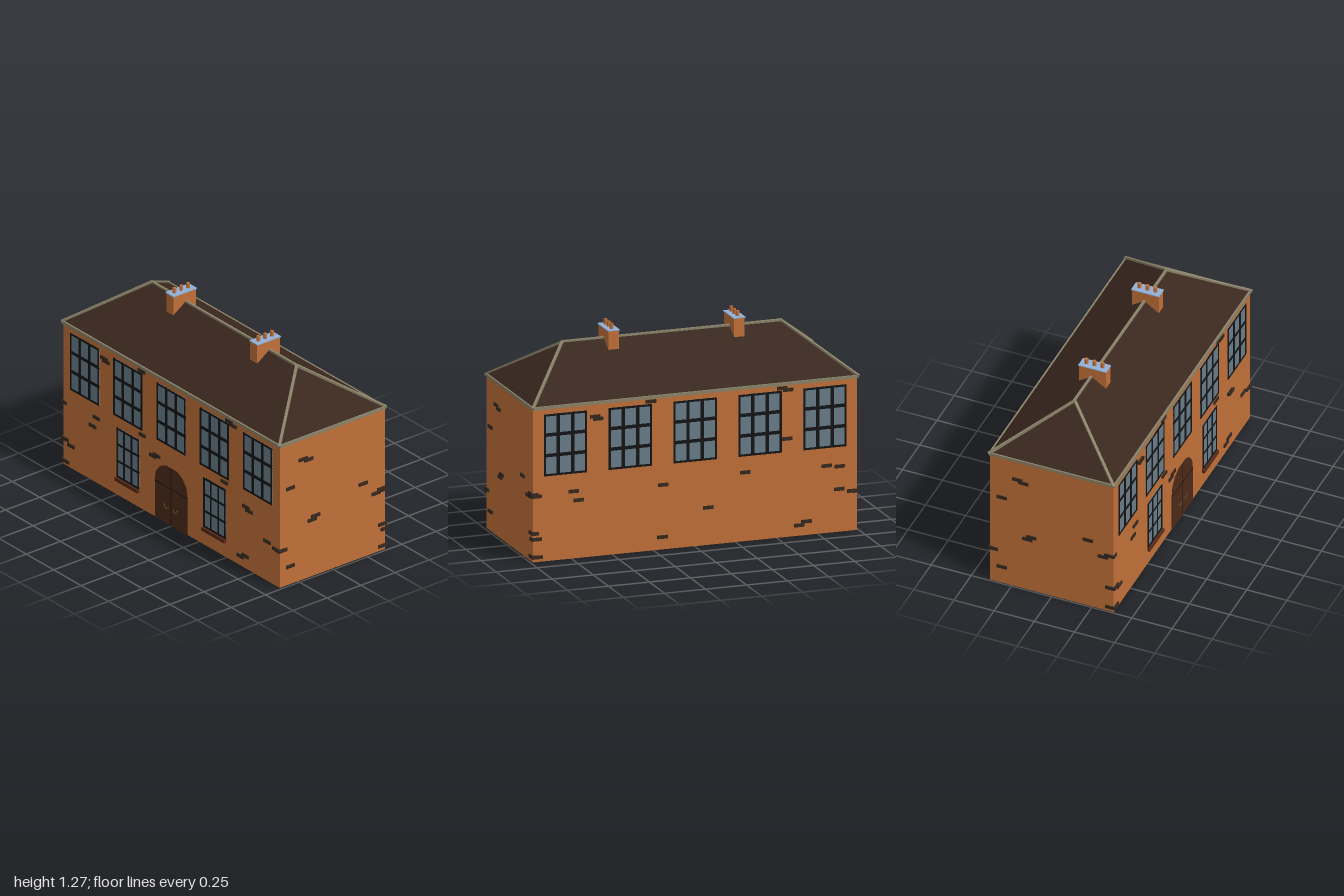
import * as THREE from 'three';

const W = 0.988, D = 0.385, H = 0.907;           // wall half width, half depth, height
const EAVE = 0.915, RIDGE = 1.178, RX = 0.663;   // roof heights, ridge half length

const mat = (color, side = THREE.FrontSide) =>
  new THREE.MeshStandardMaterial({ color, side, flatShading: true });
const M = {
  wall: mat(0xc07038, THREE.DoubleSide), roof: mat(0x3a281f, THREE.DoubleSide),
  trim: mat(0x8a8268), glass: mat(0x687c8a), frame: mat(0x141414), door: mat(0x4d2a1a),
  dark: mat(0x1c100a), sill: mat(0x5a2a18), brick: mat(0x36281f), cap: mat(0x93afd4),
  handle: mat(0x5a4c20),
};

function add(parent, name, geo, material, x = 0, y = 0, z = 0) {
  const m = new THREE.Mesh(geo, material);
  m.name = name;
  m.position.set(x, y, z);
  parent.add(m);
  return m;
}
const box = (parent, name, material, w, h, d, x, y, z) =>
  add(parent, name, new THREE.BoxGeometry(w, h, d), material, x, y, z);

function group(parent, name, x = 0, y = 0, z = 0, ry = 0) {
  const g = new THREE.Group();
  g.name = name;
  g.position.set(x, y, z);
  g.rotation.y = ry;
  parent.add(g);
  return g;
}

// Square bar from a to b
function beam(parent, name, a, b, size) {
  const p = new THREE.Vector3(...a), q = new THREE.Vector3(...b);
  const m = box(parent, name, M.trim, size, size, p.distanceTo(q) + size * 0.5, 0, 0, 0);
  m.position.copy(p).add(q).multiplyScalar(0.5);
  m.lookAt(q);
}

// Window of 3 x 3 panes, seen from both sides of the wall
function addWindow(parent, x, y, w, h, bar) {
  const g = group(parent, 'window', x, y, 0);
  box(g, 'glass', M.glass, w, h, 0.005, 0, 0, 0);
  const edge = 0.012;
  for (const s of [-1, 1]) {
    box(g, 'frameSide', M.frame, edge, h, 0.01, s * (w - edge) / 2, 0, 0);
    box(g, 'frameRail', M.frame, w, edge, 0.01, 0, s * (h - edge) / 2, 0);
    box(g, 'mullion', M.frame, bar, h, 0.009, s * w / 6, 0, 0);
    box(g, 'glazingBar', M.frame, w, bar, 0.009, 0, s * h / 6, 0);
  }
}

// Loose dark bricks standing slightly proud of a wall
function addBricks(parent, spots) {
  const geo = new THREE.BoxGeometry(0.062, 0.02, 0.04);
  for (const [x, y] of spots) add(parent, 'brick', geo, M.brick, x, y, -0.012);
}

// Double door with a flattened arch
function addDoor(parent) {
  const g = group(parent, 'door');
  const half = [[0.148, 0], [0.148, 0.245], [0.138, 0.3], [0.1, 0.347], [0.05, 0.37]];
  const outline = [...half, ...half.map(([x, y]) => [-x, y]).reverse()]
    .map(([x, y]) => new THREE.Vector2(x, y));
  const leaf = new THREE.ExtrudeGeometry(new THREE.Shape(outline), { depth: 0.008, bevelEnabled: false });
  add(g, 'doorLeaves', leaf, M.door, 0, 0, -0.004);
  box(g, 'doorSeam', M.dark, 0.005, 0.368, 0.01, 0, 0.184, 0);
  box(g, 'doorRail', M.dark, 0.294, 0.006, 0.01, 0, 0.237, 0);
  for (const s of [-1, 1]) {
    const ring = add(g, 'handle', new THREE.TorusGeometry(0.02, 0.003, 6, 12, Math.PI), M.handle, s * 0.04, 0.118, 0.006);
    ring.rotation.z = Math.PI;
    add(g, 'handleKnob', new THREE.SphereGeometry(0.005, 8, 6), M.handle, s * 0.058, 0.118, 0.006);
  }
}

function addRoof(parent) {
  const g = group(parent, 'roof');
  const X = W + 0.004, Z = D + 0.005;
  const a = [-X, EAVE, Z], b = [X, EAVE, Z], c = [X, EAVE, -Z], d = [-X, EAVE, -Z];
  const l = [-RX, RIDGE, 0], r = [RX, RIDGE, 0];
  const geo = new THREE.BufferGeometry();
  const tris = [a, b, r, a, r, l, c, d, l, c, l, r, b, c, r, d, a, l];
  geo.setAttribute('position', new THREE.Float32BufferAttribute(tris.flat(), 3));
  geo.computeVertexNormals();
  add(g, 'roofTiles', geo, M.roof);
  // Ridge, hips and eaves
  beam(g, 'ridgeTrim', l, r, 0.014);
  for (const [p, q] of [[a, l], [d, l], [b, r], [c, r]]) beam(g, 'hipTrim', p, q, 0.016);
  for (const s of [-1, 1]) {
    box(g, 'eaveTrim', M.trim, 2 * X, 0.018, 0.012, 0, EAVE - 0.003, s * (Z - 0.004));
    box(g, 'eaveTrim', M.trim, 0.012, 0.018, 2 * Z, s * (X - 0.004), EAVE - 0.003, 0);
  }
}

function addChimney(parent, x) {
  const g = group(parent, 'chimney', x, 0, 0.006);
  box(g, 'stack', M.wall, 0.064, 0.12, 0.168, 0, 1.177, 0);
  box(g, 'cap', M.cap, 0.073, 0.006, 0.174, 0, 1.238, 0);
  for (const z of [-0.05, 0, 0.05])
    add(g, 'chimneyPot', new THREE.CylinderGeometry(0.011, 0.011, 0.032, 10), M.wall, 0, 1.256, z);
}

export function createModel() {
  const house = new THREE.Group();
  house.name = 'house';
  const body = group(house, 'body', -0.003, 0, -0.002);

  // Each wall is a group whose outside faces its local +z
  const makeWall = (name, x, z, ry, halfWidth) => {
    const g = group(body, name, x, 0, z, ry);
    add(g, 'brickwork', new THREE.PlaneGeometry(halfWidth * 2, H), M.wall, 0, H / 2, 0);
    return g;
  };
  const front = makeWall('frontWall', 0, D, 0, W);
  const back = makeWall('backWall', 0, -D, Math.PI, W);
  const right = makeWall('endWallPlusX', W, 0, Math.PI / 2, D);
  const left = makeWall('endWallMinusX', -W, 0, -Math.PI / 2, D);

  // Upper floor windows on both long walls
  for (const wall of [front, back])
    for (let i = -2; i <= 2; i++) addWindow(wall, i * 0.395, 0.689, 0.263, 0.367, 0.02);

  // Ground floor windows with sills, and the door
  for (const s of [-1, 1]) {
    addWindow(front, s * 0.396, 0.275, 0.203, 0.32, 0.014);
    box(front, 'windowSill', M.sill, 0.21, 0.022, 0.032, s * 0.396, 0.104, 0);
  }
  addDoor(front);

  addBricks(front, [
    [-0.61, 0.832], [-0.592, 0.817], [-0.27, 0.888], [0.53, 0.888], [0.567, 0.875], [0.487, 0.48],
    [-0.262, 0.48], [-0.682, 0.42], [-0.715, 0.355], [-0.132, 0.4], [-0.167, 0.385], [0.685, 0.4],
    [0.713, 0.383], [0.877, 0.255], [0.957, 0.237], [0.678, 0.082], [0.633, 0.063], [-0.965, 0.17],
    [-0.912, 0.145], [-0.96, 0.028],
  ]);
  addBricks(back, [
    [-0.61, 0.832], [-0.592, 0.817], [-0.27, 0.888], [0.53, 0.888], [0.567, 0.875], [0.56, 0.585],
    [-0.74, 0.4], [-0.71, 0.345], [-0.195, 0.385], [0.08, 0.223], [-0.2, 0.075], [0.305, 0.41],
    [0.8, 0.4], [0.88, 0.39], [0.877, 0.255], [0.957, 0.237], [0.678, 0.082], [0.633, 0.063],
    [-0.965, 0.39], [-0.965, 0.135], [-0.96, 0.028],
  ]);
  for (const wall of [right, left])
    addBricks(wall, [
      [-0.215, 0.777], [-0.175, 0.762], [-0.31, 0.62], [0.225, 0.475], [-0.125, 0.385], [-0.15, 0.365],
      [0.36, 0.4], [0.32, 0.383], [-0.365, 0.235], [0.365, 0.17], [-0.31, 0.118], [0.365, 0.03],
    ]);

  addRoof(body);
  for (const s of [-1, 1]) addChimney(body, s * 0.383);
  return house;
}
